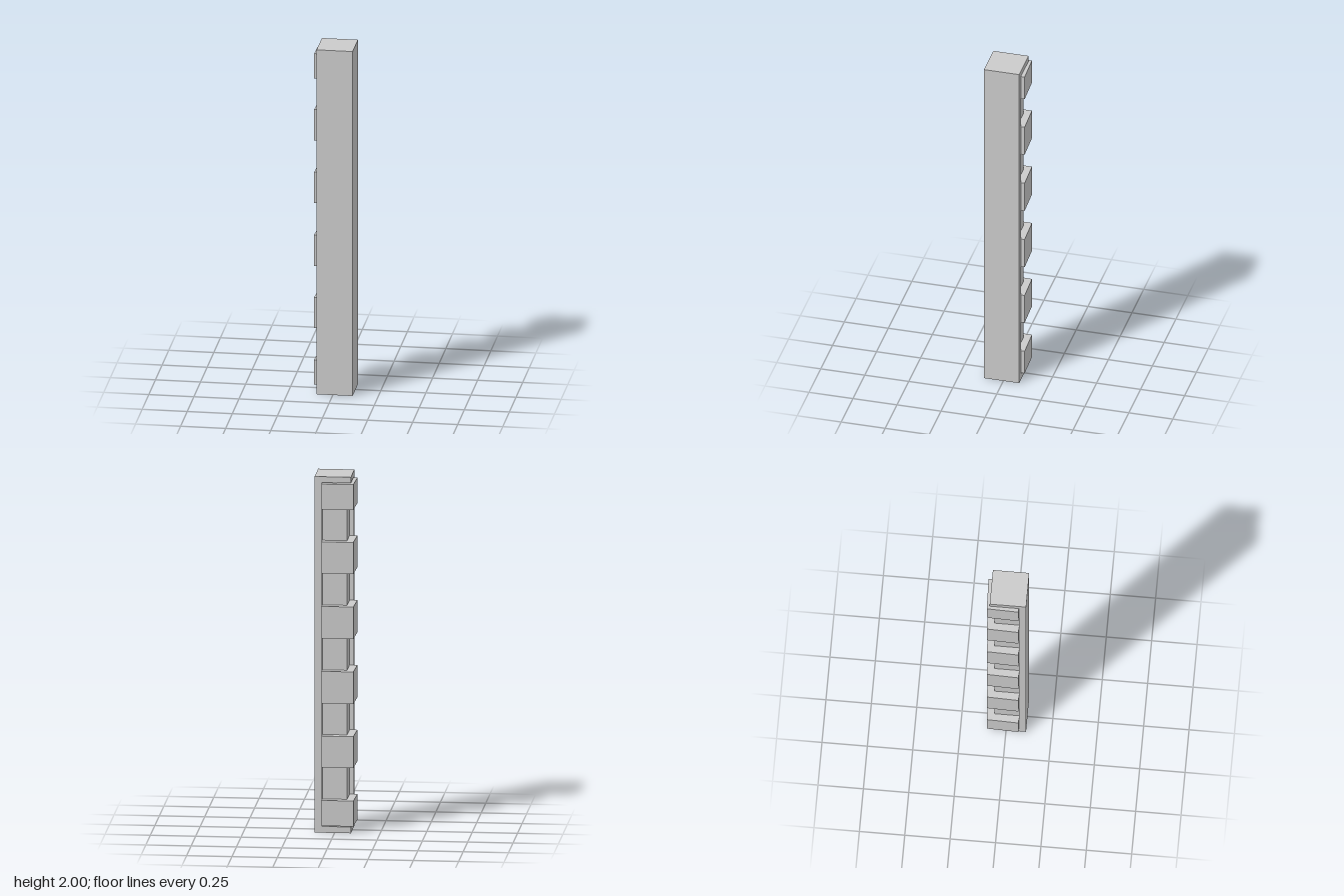
import * as THREE from 'three';

const material = new THREE.MeshStandardMaterial({ color: 0xcccccc, flatShading: true });

// Extrudes a plan outline of [x, z] points from height y0 to y1.
function prism(name, outline, y0, y1) {
  const shape = new THREE.Shape(outline.map(([x, z]) => new THREE.Vector2(x, -z)));
  const geometry = new THREE.ExtrudeGeometry(shape, { depth: y1 - y0, bevelEnabled: false });
  geometry.rotateX(-Math.PI / 2).translate(0, y0, 0);
  const mesh = new THREE.Mesh(geometry, material);
  mesh.name = name;
  return mesh;
}

export function createModel() {
  const group = new THREE.Group();
  group.name = 'cornerPost';

  const out = 0.11, back = -0.09, end = 0.07, inner = -0.067;
  const bottom = 0.035, top = 1.967;

  // Square ends of the post
  const square = [[back, back], [out, back], [out, out], [back, out]];
  group.add(prism('postFoot', square, 0, bottom));
  group.add(prism('postCap', square, top, 2));

  // Shaft with a recess wrapped around its back corner
  const shaft = [
    [out, out], [out, back], [end, back], [end, inner],
    [inner, inner], [inner, end], [back, end], [back, out],
  ];
  group.add(prism('postShaft', shaft, bottom, top));

  // Quoin blocks set in the recess, their legs splaying slightly outward
  const quoin = [
    [end, -0.11], [end, inner], [inner, inner],
    [inner, end], [-0.11, end], [-0.105, -0.105],
  ];
  const spans = [[0.042, 0.185], [0.37, 0.547], [0.73, 0.91], [1.095, 1.275], [1.46, 1.638], [1.82, 1.963]];
  for (const [y0, y1] of spans) group.add(prism('quoinBlock', quoin, y0, y1));

  return group;
}
